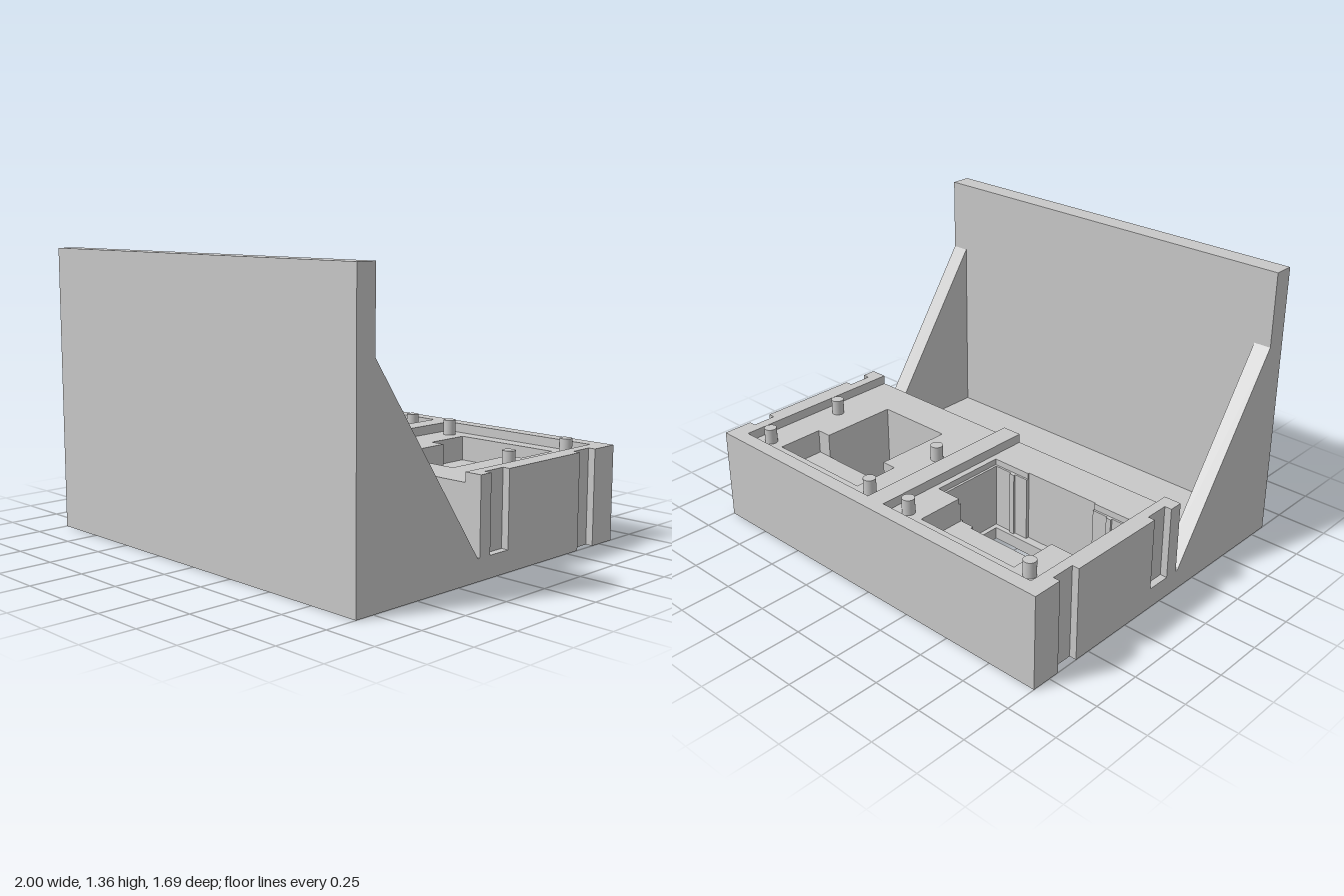
import * as THREE from 'three';

export function createModel() {
  const model = new THREE.Group();
  const grey = new THREE.MeshStandardMaterial({ color: 0xc8c8c8 });

  const add = (name, geometry, x = 0, y = 0, z = 0) => {
    const mesh = new THREE.Mesh(geometry, grey);
    mesh.name = name;
    mesh.position.set(x, y, z);
    model.add(mesh);
    return mesh;
  };
  const box = (name, x0, x1, y0, y1, z0, z1) =>
    add(name, new THREE.BoxGeometry(x1 - x0, y1 - y0, z1 - z0),
      (x0 + x1) / 2, (y0 + y1) / 2, (z0 + z1) / 2);

  // Plan outlines are [x, z] points (counter-clockwise from above), extruded upwards
  const points = (list) => list.map(([x, z]) => new THREE.Vector2(x, -z));
  const layer = (name, y0, y1, outline, holes = []) => {
    const shape = new THREE.Shape(points(outline));
    holes.forEach((h) => shape.holes.push(new THREE.Path(points(h))));
    const geometry = new THREE.ExtrudeGeometry(shape, { depth: y1 - y0, bevelEnabled: false });
    geometry.rotateX(-Math.PI / 2);
    return add(name, geometry, 0, y0);
  };
  const rect = (x0, x1, z0, z1) => [[x0, z0], [x1, z0], [x1, z1], [x0, z1]];

  // One side edge with its grooves, from back to front, at side s
  const sideEdge = (s, frontGroove) => {
    const grooves = [[-0.697, -0.58]];
    if (frontGroove) grooves.push([-0.073, 0.047]);
    const edge = [[s, -0.845]];
    for (const [a, b] of grooves) edge.push([s, a], [s * 0.965, a], [s * 0.965, b], [s, b]);
    return edge;
  };
  const body = (zFront, frontGroove) => [
    ...sideEdge(-1, frontGroove), [-1, zFront],
    [1, zFront], ...sideEdge(1, frontGroove).reverse(),
  ];

  // Display opening with shallow widened strips, optionally joined to the pocket behind
  const displayHole = (x0, x1, z0, z1, pocket) => [
    [x0, z0],
    ...(pocket
      ? [[-0.755, z0], [-0.755, -0.7], [-0.21, -0.7], [-0.21, z0]]
      : [[-0.68, z0], [-0.68, -0.47], [-0.285, -0.47], [-0.285, z0]]),
    [x1, z0], [x1, z1],
    [-0.285, z1], [-0.285, -0.078], [-0.68, -0.078], [-0.68, z1], [x0, z1],
  ];
  const inner = [-0.88, -0.092, -0.455, -0.095];
  const outer = [-0.893, -0.08, -0.465, -0.085];
  const squareHole = rect(0.285, 0.68, -0.47, -0.08);
  const squareWithPocket = [
    [0.21, -0.7], [0.755, -0.7], [0.755, -0.47], [0.68, -0.47],
    [0.68, -0.08], [0.285, -0.08], [0.285, -0.47], [0.21, -0.47],
  ];

  // Base plate, with a ledge around the display opening
  layer('baseBottom', 0, 0.06, body(0.845, false), [rect(-0.85, -0.115, -0.425, -0.12), squareHole]);
  layer('baseTop', 0.06, 0.1, body(0.845, false), [displayHole(...inner, false), squareHole]);

  // Raised block with openings and component pockets
  const block = body(0.115, true);
  layer('blockLower', 0.1, 0.29, block, [displayHole(...inner, false), squareHole]);
  layer('blockMiddle', 0.29, 0.38, block, [displayHole(...inner, true), squareWithPocket]);
  layer('blockUpper', 0.38, 0.41, block, [displayHole(...outer, true), squareWithPocket]);

  // Rim around the two recessed bays, open towards the front wall
  layer('rim', 0.41, 0.455, [
    ...sideEdge(-1, true), [-1, 0.115], [-0.915, 0.115], [-0.915, -0.776],
    [-0.05, -0.776], [-0.05, 0.115], [0.05, 0.115], [0.05, -0.776],
    [0.915, -0.776], [0.915, 0.115], [1, 0.115], ...sideEdge(1, true).reverse(),
  ]);

  // Small ribs inside the display opening
  for (const x of [-0.775, -0.2]) {
    box('displayRib', x - 0.013, x + 0.013, 0.06, 0.29, -0.46, -0.445);
    box('displayRib', x - 0.013, x + 0.013, 0.06, 0.38, -0.105, -0.09);
  }

  // Locating pegs
  const peg = new THREE.CylinderGeometry(0.03, 0.03, 0.075, 32);
  for (const [x, z] of [[-0.84, -0.698], [-0.128, -0.698], [0.125, -0.698],
    [0.837, -0.698], [0.125, -0.274], [0.837, -0.274]]) add('peg', peg, x, 0.4475, z);

  // Tall front wall
  box('frontWall', -1, 1, 0.1, 1.355, 0.745, 0.845);

  // Triangular braces at both ends
  const brace = new THREE.Shape([[-0.745, 0.1], [-0.127, 0.1], [-0.745, 0.995]]
    .map(([x, y]) => new THREE.Vector2(x, y)));
  const braceGeometry = new THREE.ExtrudeGeometry(brace, { depth: 0.085, bevelEnabled: false });
  braceGeometry.rotateY(Math.PI / 2);
  add('leftBrace', braceGeometry, 0.915);
  add('rightBrace', braceGeometry, -1);

  return model;
}
